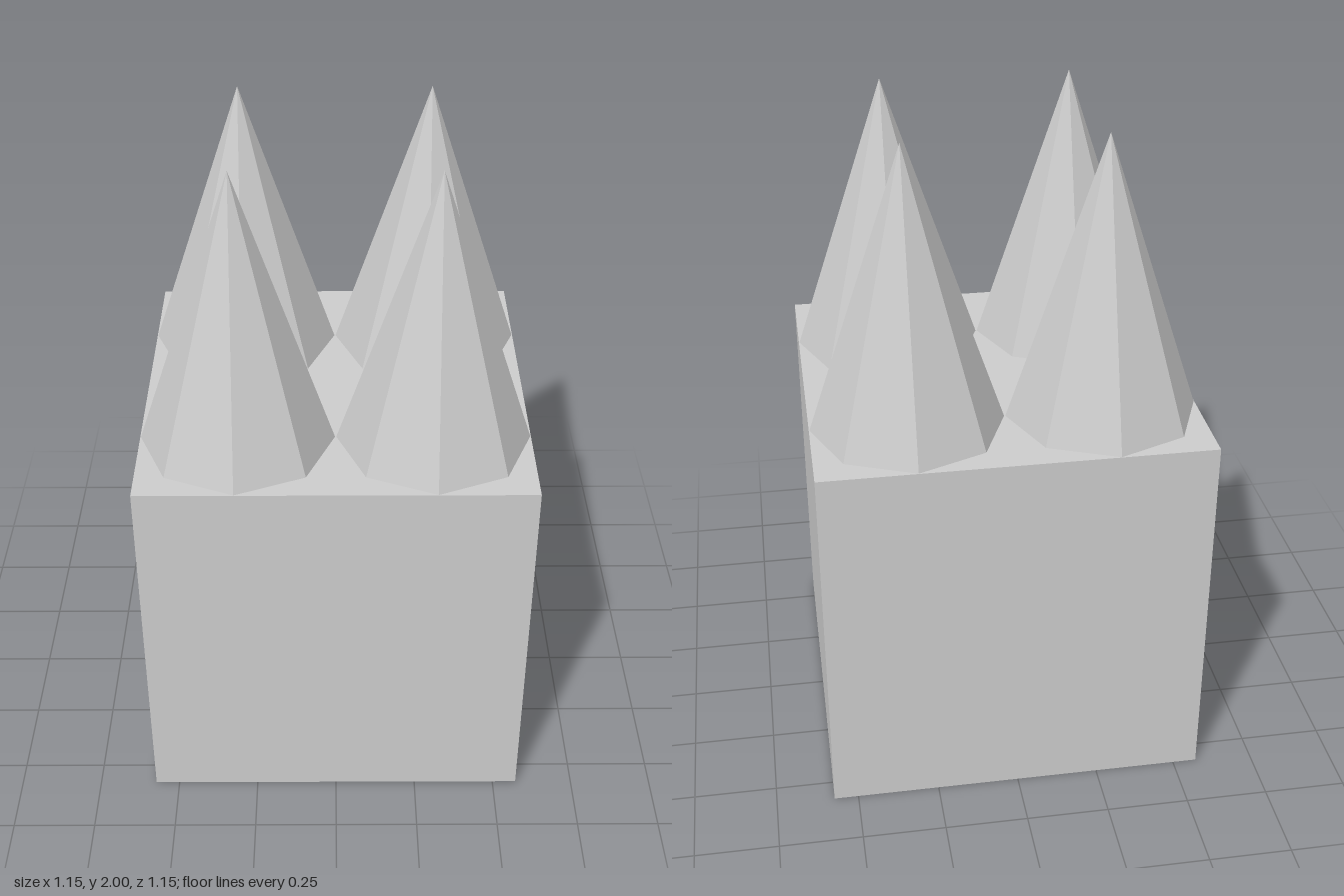
import * as THREE from 'three';

export function createModel() {
  const group = new THREE.Group();
  const material = new THREE.MeshStandardMaterial({ color: 0xcccccc, flatShading: true });
  const size = 1.147, radius = 0.285, height = 2 - size;

  // Cubic base
  const base = new THREE.Mesh(new THREE.BoxGeometry(size, size, size), material);
  base.name = 'baseBlock';
  base.position.y = size / 2;
  group.add(base);

  // Four eight-sided spikes, one per quarter of the top
  const spikeGeometry = new THREE.ConeGeometry(radius, height, 8);
  for (const [sx, side] of [[-1, 'Right'], [1, 'Left']]) {
    for (const [sz, end] of [[1, 'front'], [-1, 'back']]) {
      const spike = new THREE.Mesh(spikeGeometry, material);
      spike.name = `${end}${side}Spike`;
      spike.position.set(sx * size / 4, size + height / 2, sz * size / 4);
      group.add(spike);
    }
  }
  return group;
}
